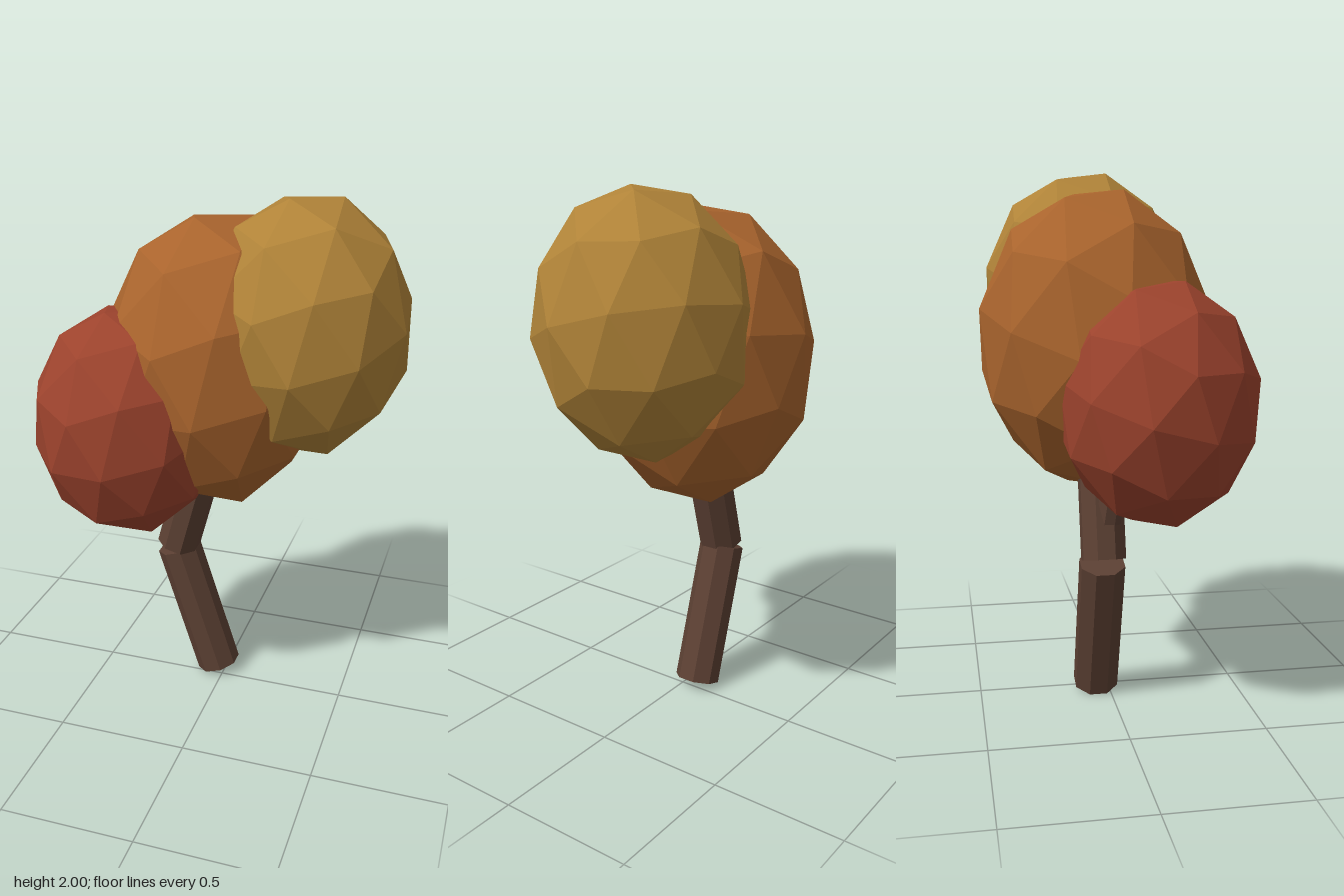
import * as THREE from 'three';

const UP = new THREE.Vector3(0, 1, 0);
const rad = THREE.MathUtils.degToRad;

const material = (color) => new THREE.MeshStandardMaterial({ color, flatShading: true });

// Faceted ball, tilted to one side and then stretched
function foliage(name, color, center, size) {
  const geometry = new THREE.IcosahedronGeometry(1, 1);
  geometry.rotateZ(Math.atan(2 / (1 + Math.sqrt(5)))); // a corner points straight up
  geometry.rotateY(rad(4));
  const lean = new THREE.Vector3(-0.135, 1, 0.23).normalize();
  geometry.applyQuaternion(new THREE.Quaternion().setFromUnitVectors(UP, lean));
  geometry.scale(...size);
  geometry.computeVertexNormals();
  const mesh = new THREE.Mesh(geometry, material(color));
  mesh.name = name;
  mesh.position.set(...center);
  return mesh;
}

// Straight eight-sided log between two points
function log(name, from, to, radius) {
  const a = new THREE.Vector3(...from);
  const b = new THREE.Vector3(...to);
  const geometry = new THREE.CylinderGeometry(radius, radius, a.distanceTo(b), 8);
  geometry.rotateY(Math.PI / 8);
  const mesh = new THREE.Mesh(geometry, material(0x5c4033));
  mesh.name = name;
  mesh.position.copy(a).lerp(b, 0.5);
  mesh.quaternion.setFromUnitVectors(UP, b.sub(a).normalize());
  return mesh;
}

export function createModel() {
  const tree = new THREE.Group();
  tree.name = 'tree';

  // Bent trunk and a side branch
  tree.add(
    log('lowerTrunk', [-0.03, 0.028, -0.05], [-0.2, 0.562, -0.05], 0.088),
    log('upperTrunk', [-0.2, 0.575, -0.045], [-0.03, 1.2, -0.045], 0.086),
    log('sideBranch', [-0.19, 0.64, -0.04], [-0.22, 0.95, 0.0], 0.05),
  );

  // Three overlapping crowns
  tree.add(
    foliage('middleFoliage', 0xa9642d, [-0.03, 1.375, -0.05], [0.425, 0.564, 0.44]),
    foliage('upperFoliage', 0xb08338, [0.3, 1.535, -0.05], [0.385, 0.481, 0.392]),
    foliage('lowerFoliage', 0x9c432d, [-0.32, 1.17, 0.13], [0.365, 0.445, 0.365]),
  );
  return tree;
}
